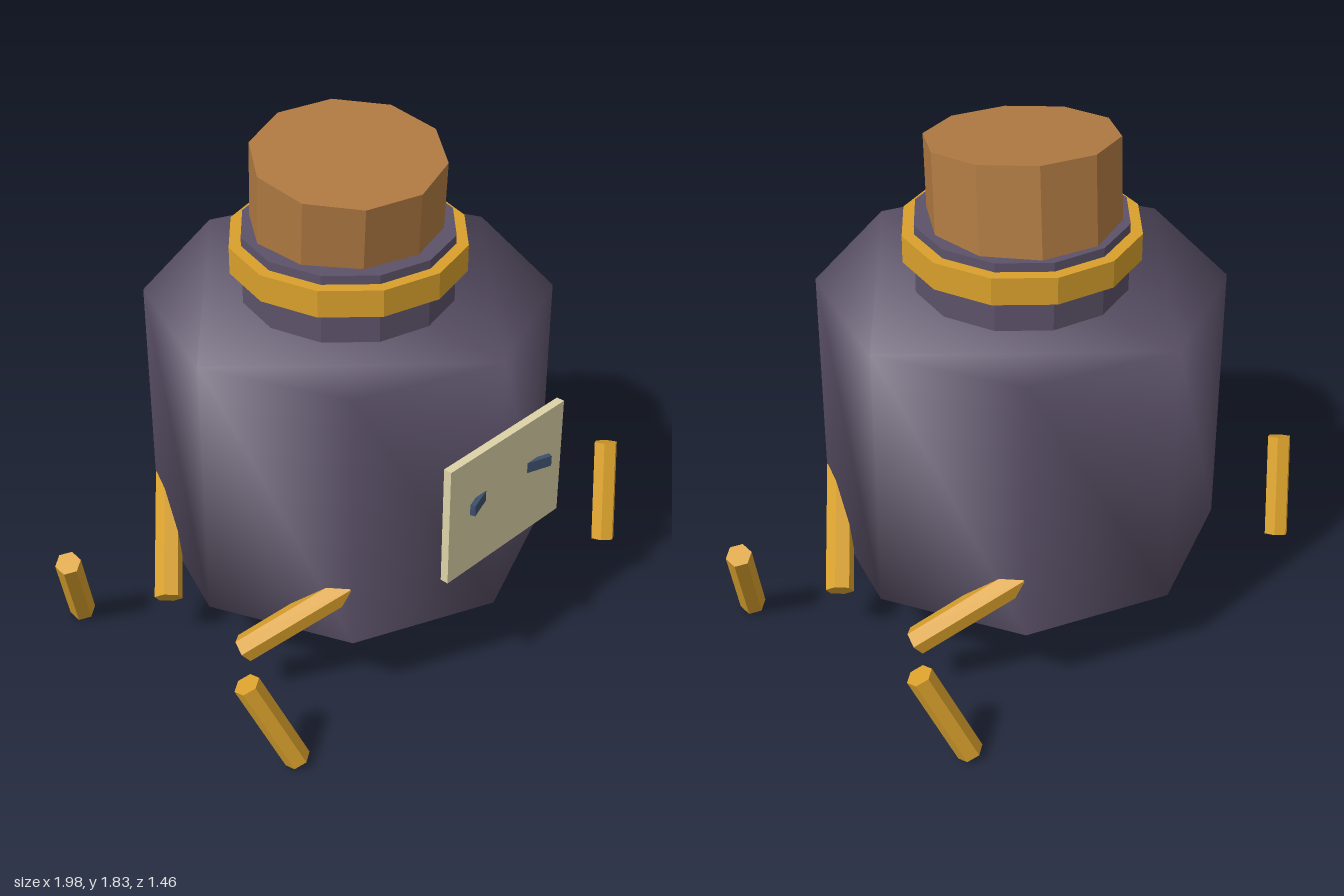
import * as THREE from 'three';
import { mergeVertices } from 'three/addons/utils/BufferGeometryUtils.js';

const CZ = -0.03; // z of the jar's axis
const mat = (color, flatShading = true) => new THREE.MeshStandardMaterial({ color, flatShading });
const V = (x, y, z) => new THREE.Vector3(x, y, z);

export function createModel() {
  const root = new THREE.Group();
  root.name = 'walkingJar';
  const purple = 0x5c5269;
  const gold = mat(0xd9a02c);

  function add(parent, name, geometry, material, x = 0, y = 0, z = 0) {
    const mesh = new THREE.Mesh(geometry, material);
    mesh.name = name;
    mesh.position.set(x, y, z);
    parent.add(mesh);
    return mesh;
  }

  // Eight-sided jar body, normals blended over every edge
  const corners = Array.from({ length: 8 }, (_, i) => {
    const a = (i * Math.PI) / 4;
    return new THREE.Vector2(0.7 * Math.cos(a), 0.7 * Math.sin(a));
  });
  let body = new THREE.ExtrudeGeometry(new THREE.Shape(corners), { depth: 0.99, bevelEnabled: false });
  body.deleteAttribute('normal');
  body.deleteAttribute('uv');
  body = mergeVertices(body);
  body.computeVertexNormals();
  body.rotateX(-Math.PI / 2);
  add(root, 'jarBody', body, mat(purple, false), 0, 0.28, CZ);

  // Neck with a gold band around it
  add(root, 'neck', new THREE.CylinderGeometry(0.37, 0.37, 0.25, 12), mat(purple), 0, 1.395, CZ);
  const bandProfile = [[0.37, 1.39], [0.412, 1.39], [0.412, 1.488], [0.37, 1.488], [0.37, 1.39]]
    .map(([r, y]) => new THREE.Vector2(r, y));
  add(root, 'neckBand', new THREE.LatheGeometry(bandProfile, 12), gold, 0, 0, CZ);

  // Cork, leaning slightly forward and to one side
  const cork = add(root, 'cork', new THREE.CylinderGeometry(0.33, 0.33, 0.36, 10), mat(0xb07a42), -0.003, 1.612, -0.034);
  cork.rotation.set(0.11, 0, 0.07);

  // Face plate and the two angled eyes
  add(root, 'facePlate', new THREE.BoxGeometry(0.575, 0.45, 0.03), mat(0xddd3a8), 0, 0.775, 0.685);
  for (const s of [-1, 1]) {
    const eye = add(root, s > 0 ? 'leftEye' : 'rightEye', new THREE.BoxGeometry(0.095, 0.04, 0.018), mat(0x3d4f6b),
      s * 0.155, 0.815, 0.708);
    eye.rotation.y = -s * 0.33;
  }

  // Hexagonal rod between two points
  function rod(parent, name, a, b, radius) {
    const dir = b.clone().sub(a);
    const mesh = add(parent, name, new THREE.CylinderGeometry(radius, radius, dir.length(), 6), gold);
    mesh.position.copy(a).add(b).multiplyScalar(0.5);
    mesh.quaternion.setFromUnitVectors(V(0, 1, 0), dir.normalize());
  }

  // Four legs, each an upper rod and a separate lower rod
  for (const sx of [-1, 1]) {
    for (const sz of [-1, 1]) {
      const leg = new THREE.Group();
      leg.name = (sz > 0 ? 'front' : 'back') + (sx > 0 ? 'Left' : 'Right') + 'Leg';
      leg.position.z = CZ;
      root.add(leg);
      const p = (x, y, z) => V(sx * x, y, sz * z);
      rod(leg, 'upperLeg', p(0.72, 0.22, 0.195), p(0.46, 0.5, 0.46), 0.05);
      rod(leg, 'lowerLeg', p(0.83, 0.025, 0.56), p(0.95, 0.365, 0.455), 0.046);
    }
  }
  return root;
}
